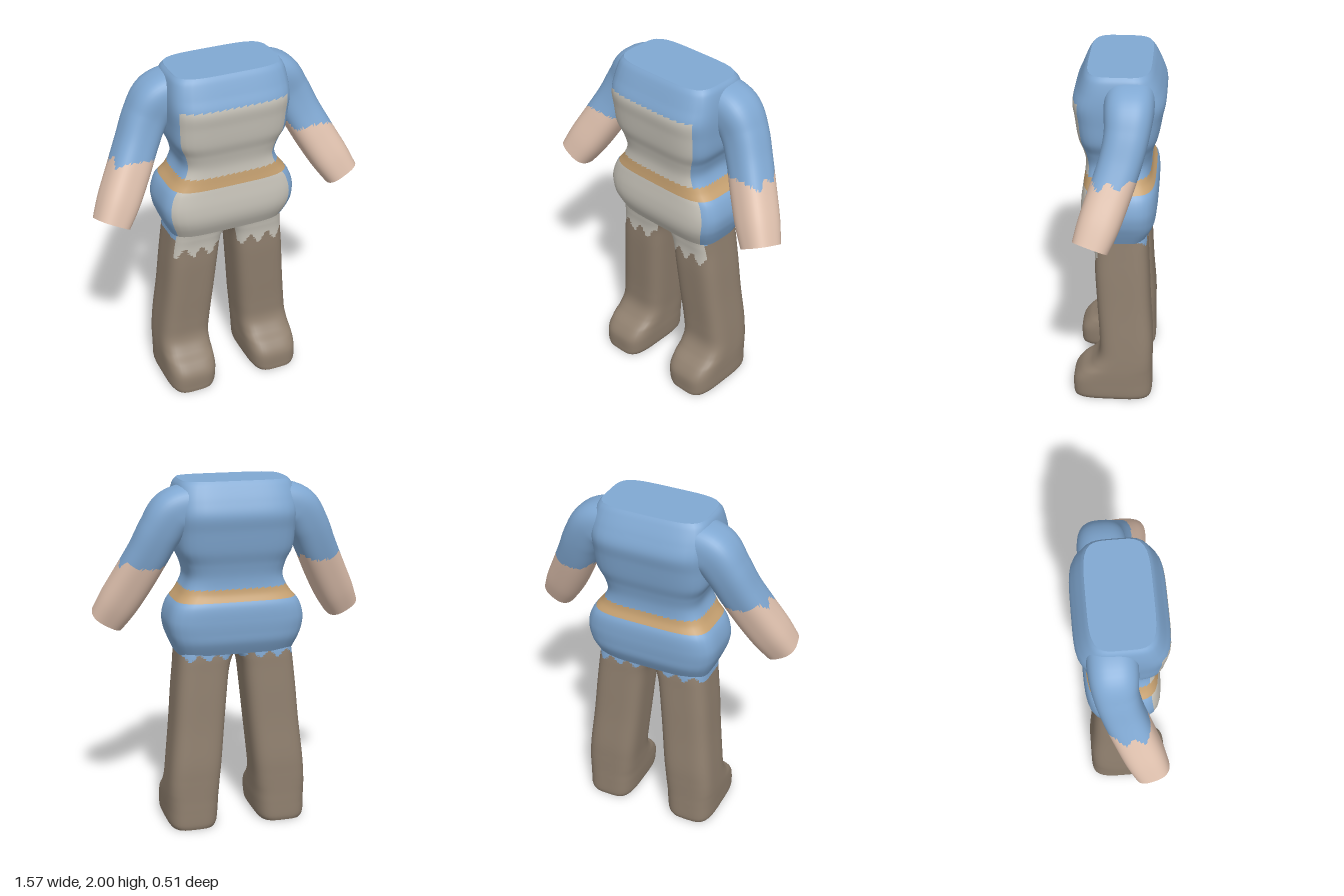
import * as THREE from 'three';

const mat = (name, color) => {
  const m = new THREE.MeshStandardMaterial({ color });
  m.name = name;
  return m;
};

const COLS = 56;
const BLUE = 0, GREY = 1, TAN = 2, BROWN = 3, SKIN = 4;

// Smooth interpolation through rows of numbers, t from 0 to 1
function spline(rows, t) {
  const f = t * (rows.length - 1);
  const i = Math.min(Math.floor(f), rows.length - 2);
  const u = f - i;
  const at = k => rows[Math.max(0, Math.min(rows.length - 1, k))];
  return rows[i].map((b, k) => {
    const a = at(i - 1)[k], c = at(i + 1)[k], d = at(i + 2)[k];
    return b + 0.5 * u * (c - a + u * (2 * a - 5 * b + 4 * c - d + u * (3 * (b - c) + d - a)));
  });
}

// Unit rounded square; a higher n gives squarer corners
function section(n) {
  return Array.from({ length: COLS }, (_, j) => {
    const a = (j / COLS) * Math.PI * 2, c = Math.cos(a), s = Math.sin(a);
    const r = Math.pow(Math.abs(c) ** n + Math.abs(s) ** n, -1 / n);
    return [c * r, s * r];
  });
}

// Skin over the rings with end caps; colorAt(point, u, v) picks a material
function loft(name, rings, unit, colorAt, materials) {
  const pos = [], faces = materials.map(() => []);
  rings.forEach(r => r.forEach(p => pos.push(p.x, p.y, p.z)));
  const point = k => new THREE.Vector3().fromArray(pos, k * 3);
  const add = (a, b, c, j) => {
    const mid = point(a).add(point(b)).add(point(c)).divideScalar(3);
    faces[colorAt(mid, unit[j][0], unit[j][1])].push(a, b, c);
  };
  for (let i = 0; i < rings.length - 1; i++) {
    for (let j = 0; j < COLS; j++) {
      const k = (j + 1) % COLS;
      const a = i * COLS + j, b = i * COLS + k, c = a + COLS, d = b + COLS;
      add(a, c, b, j);
      add(b, c, d, j);
    }
  }
  // Caps have their own vertices so that the rim stays sharp
  [rings[0], rings[rings.length - 1]].forEach((ring, end) => {
    const base = pos.length / 3;
    const mid = new THREE.Vector3();
    ring.forEach(p => { pos.push(p.x, p.y, p.z); mid.addScaledVector(p, 1 / COLS); });
    pos.push(mid.x, mid.y, mid.z);
    for (let j = 0; j < COLS; j++) {
      const a = base + j, b = base + (j + 1) % COLS;
      if (end) add(base + COLS, b, a, j); else add(base + COLS, a, b, j);
    }
  });
  const geo = new THREE.BufferGeometry();
  geo.setAttribute('position', new THREE.Float32BufferAttribute(pos, 3));
  const index = [];
  faces.forEach((f, m) => {
    if (!f.length) return;
    geo.addGroup(index.length, f.length, m);
    for (const k of f) index.push(k);
  });
  geo.setIndex(index);
  geo.computeVertexNormals();
  const mesh = new THREE.Mesh(geo, materials);
  mesh.name = name;
  return mesh;
}

// Horizontal rings from rows of [y, xMin, xMax, zBack, zFront]
function uprightRings(rows, unit, count) {
  return Array.from({ length: count + 1 }, (_, i) => {
    const [y, x0, x1, z0, z1] = spline(rows, i / count);
    return unit.map(([u, v]) => new THREE.Vector3(
      (x0 + x1) / 2 + u * (x1 - x0) / 2, y, (z0 + z1) / 2 + v * (z1 - z0) / 2));
  });
}

// Rings across a path from rows of [x, y, z, radius]
function pathRings(rows, unit, count) {
  const front = new THREE.Vector3(0, 0, 1);
  return Array.from({ length: count + 1 }, (_, i) => {
    const t = i / count;
    const c = spline(rows, t);
    const p = spline(rows, Math.max(0, t - 0.01)), q = spline(rows, Math.min(1, t + 0.01));
    const dir = new THREE.Vector3(q[0] - p[0], q[1] - p[1], q[2] - p[2]).normalize();
    const U = dir.clone().cross(front).normalize();
    const V = U.clone().cross(dir);
    return unit.map(([u, v]) => new THREE.Vector3(c[0], c[1], c[2])
      .addScaledVector(U, u * c[3]).addScaledVector(V, v * c[3]));
  });
}

export function createModel() {
  const group = new THREE.Group();
  const materials = [
    mat('blue tunic', 0x80a8d2), mat('grey apron', 0xc6c2b8), mat('tan belt', 0xc5a070),
    mat('brown trousers', 0x8f7f6e), mat('skin', 0xdfc1ae),
  ];

  // Torso with apron front and belt
  const torso = [
    [1.03, 0.335, -0.165, 0.16], [1.1, 0.365, -0.2, 0.195], [1.16, 0.385, -0.21, 0.21],
    [1.23, 0.39, -0.215, 0.21], [1.31, 0.365, -0.21, 0.2], [1.38, 0.31, -0.18, 0.19],
    [1.46, 0.275, -0.175, 0.185], [1.54, 0.29, -0.19, 0.2], [1.62, 0.325, -0.215, 0.225],
    [1.73, 0.335, -0.235, 0.24], [1.82, 0.34, -0.25, 0.25], [1.9, 0.335, -0.225, 0.22],
    [1.97, 0.32, -0.19, 0.19], [2, 0.3, -0.17, 0.17],
  ].map(([y, x, z0, z1]) => [y, -x, x, z0, z1]);
  const square = section(4.5);
  group.add(loft('torso', uprightRings(torso, square, 104), square, (p, u, v) => {
    if (p.y > 1.335 && p.y < 1.405) return TAN;
    return v > 0 && Math.abs(u) < 0.86 && p.y < 1.835 ? GREY : BLUE;
  }, materials));

  // Legs with feet, inner and outer x given for the left one
  const leg = [
    [0, 0.135, 0.395, -0.195, 0.255], [0.03, 0.12, 0.408, -0.203, 0.258],
    [0.11, 0.112, 0.41, -0.203, 0.255], [0.17, 0.11, 0.41, -0.202, 0.215],
    [0.22, 0.108, 0.408, -0.202, 0.15], [0.29, 0.104, 0.403, -0.202, 0.108],
    [0.4, 0.093, 0.393, -0.2, 0.105], [0.6, 0.074, 0.372, -0.185, 0.118],
    [0.8, 0.055, 0.355, -0.175, 0.13], [0.93, 0.04, 0.342, -0.168, 0.133],
    [1.0, 0.02, 0.335, -0.165, 0.143], [1.05, -0.005, 0.33, -0.16, 0.15],
    [1.1, -0.01, 0.32, -0.15, 0.14],
  ];
  const boxy = section(4);
  for (const side of [1, -1]) {
    const rows = side > 0 ? leg : leg.map(([y, a, b, c, d]) => [y, -b, -a, c, d]);
    group.add(loft(side > 0 ? 'leftLeg' : 'rightLeg', uprightRings(rows, boxy, 110), boxy, (p, u, v) => {
      // Ragged hem of apron and tunic
      const rag = 0.03 * Math.sin(p.x * 62);
      if (v > 0.6 && Math.abs(u) < 0.9 && p.y > 0.905 + rag) return GREY;
      return p.y > 1.015 + rag * 0.6 ? BLUE : BROWN;
    }, materials));
  }

  // Arms from hand to shoulder
  const arm = [
    [0.695, 1.215, 0.115, 0.098], [0.635, 1.32, 0.075, 0.11], [0.56, 1.455, 0.025, 0.113],
    [0.485, 1.6, -0.025, 0.113], [0.42, 1.73, -0.055, 0.118],
    [0.345, 1.825, -0.062, 0.13], [0.22, 1.855, -0.06, 0.135],
  ];
  const round = section(2.7);
  for (const side of [1, -1]) {
    const rows = arm.map(([x, y, z, r]) => [x * side, y, z, r]);
    group.add(loft(side > 0 ? 'leftArm' : 'rightArm', pathRings(rows, round, 48), round,
      p => (p.y < 1.545 + 0.02 * Math.sin(p.z * 60) ? SKIN : BLUE), materials));
  }
  return group;
}
